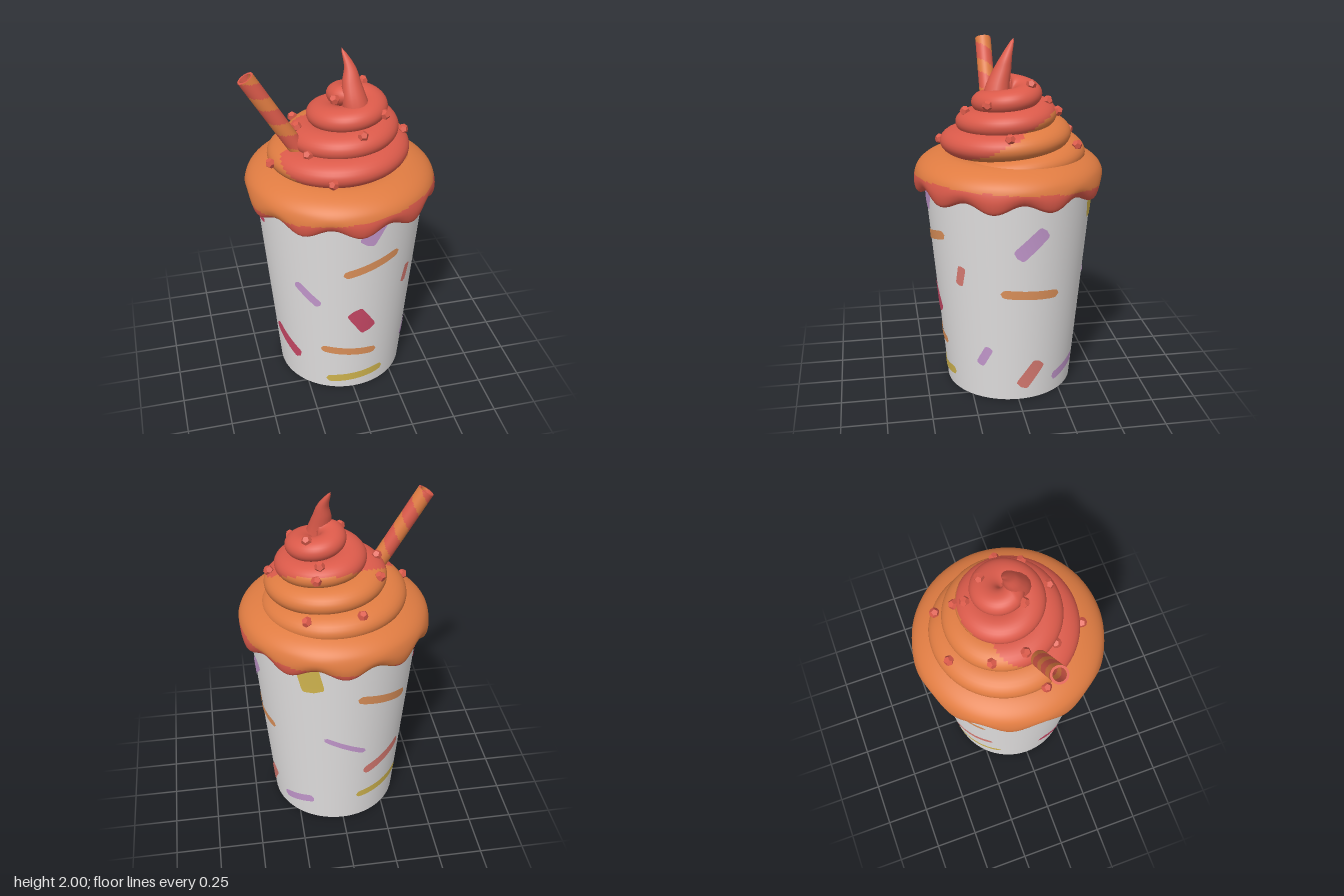
import * as THREE from 'three';

const { PI, sin, cos, sqrt, abs, min, max } = Math;
const material = (name, color) => {
  const m = new THREE.MeshStandardMaterial({ color, side: THREE.DoubleSide });
  m.name = name;
  return m;
};

// Grid surface from fn(u, v); pick(point, u, v) chooses a material index per face.
function gridMesh(name, nu, nv, wrapU, fn, mats, pick = () => 0) {
  const cols = wrapU ? nu : nu + 1;
  const pos = [];
  for (let j = 0; j <= nv; j++)
    for (let i = 0; i < cols; i++) pos.push(...fn(i / nu, j / nv));
  const lists = mats.map(() => []);
  for (let j = 0; j < nv; j++)
    for (let i = 0; i < nu; i++) {
      const k = wrapU ? (i + 1) % nu : i + 1;
      const a = j * cols + i, b = j * cols + k, c = b + cols, d = a + cols;
      const u = (i + 0.5) / nu, v = (j + 0.5) / nv;
      lists[pick(fn(u, v), u, v)].push(a, b, c, a, c, d);
    }
  const geo = new THREE.BufferGeometry();
  geo.setAttribute('position', new THREE.Float32BufferAttribute(pos, 3));
  geo.setIndex(lists.flat());
  let start = 0;
  lists.forEach((l, m) => { geo.addGroup(start, l.length, m); start += l.length; });
  geo.computeVertexNormals();
  const mesh = new THREE.Mesh(geo, mats.length > 1 ? mats : mats[0]);
  mesh.name = name;
  return mesh;
}

const cupRadius = y => 0.364 + 0.09 * y;

// Point on the cream coil: t in turns from the front, a around its section, k scales the section.
function coilPoint(t, a, k = 1) {
  const az = t * 2 * PI, rx = 0.125 - 0.018 * t, ry = 0.08 - 0.007 * t;
  const r = 0.38 - 0.085 * t - rx + rx * k * cos(a);
  return [0.017 + 0.025 * t + r * sin(az), 1.44 + 0.112 * t - ry * k * sin(a), r * cos(az)];
}

export function createModel() {
  const group = new THREE.Group();
  const white = material('cup white', 0xe4e2e2);
  const red = material('cream red', 0xdb5a4a);
  const orange = material('cream orange', 0xe07c42);
  const paint = {
    purple: material('sprinkle purple', 0xc69ad0),
    amber: material('sprinkle orange', 0xe1945c),
    crimson: material('sprinkle crimson', 0xcc4a68),
    salmon: material('sprinkle salmon', 0xdc7d74),
    yellow: material('sprinkle yellow', 0xd4b850),
  };
  const cream = [red, orange];

  // Cup
  const cupGroup = new THREE.Group();
  cupGroup.name = 'paintedCup';
  cupGroup.position.x = 0.005;
  group.add(cupGroup);
  const cup = new THREE.Mesh(new THREE.CylinderGeometry(cupRadius(1.28), cupRadius(0), 1.28, 64), white);
  cup.position.y = 0.64;
  cup.name = 'cup';
  cupGroup.add(cup);

  // Painted sprinkles on the cup: colour, azimuth, height, run, rise, width
  const marks = [
    ['purple', 9.5, 1.165, 0.09, 0.16, 0.1], ['amber', 10, 0.93, 0.33, 0.095, 0.052],
    ['purple', -38, 0.72, 0.14, -0.13, 0.052], ['crimson', 4, 0.535, 0.1, -0.16, 0.1],
    ['salmon', 44, 0.76, 0.03, 0.12, 0.05], ['amber', -5.5, 0.3, 0.33, -0.045, 0.052],
    ['yellow', 1, 0.09, 0.35, 0.035, 0.055], ['crimson', -65, 0.27, 0.2, -0.14, 0.08],
    ['crimson', -96, 1.08, 0.34, 0.05, 0.045], ['purple', 97, 0.975, 0.16, 0.15, 0.085],
    ['amber', 98, 0.67, 0.34, -0.035, 0.052], ['purple', 61, 0.28, 0.065, 0.12, 0.05],
    ['salmon', 100, 0.16, 0.11, 0.155, 0.08], ['purple', 138, 0.13, 0.21, 0.06, 0.055],
    ['yellow', 156, 1.13, -0.04, 0.19, 0.13], ['amber', 211, 0.92, 0.35, -0.11, 0.055],
    ['purple', 181, 0.62, 0.24, -0.13, 0.035], ['salmon', 217, 0.43, 0.28, 0.1, 0.065],
    ['yellow', 218, 0.2, 0.35, 0.03, 0.05],
  ];
  marks.forEach(([color, deg, y0, ds, dy, w]) => {
    const len = Math.hypot(ds, dy);
    cupGroup.add(gridMesh('paintedSprinkle', 24, 2, false, (u, v) => {
      const l = 2 * u - 1;
      const half = (v - 0.5) * w * sqrt(max(0, 1 - abs(l) ** 12));
      const s = l * ds / 2 - half * dy / len;
      const y = y0 + l * dy / 2 + half * ds / len;
      const r = cupRadius(y) + 0.004;
      const a = deg * PI / 180 + s / cupRadius(y0);
      return [r * sin(a), y, r * cos(a)];
    }, [paint[color]]));
  });

  // Scalloped cream collar, red drip below and orange above
  const profile = new THREE.SplineCurve([
    [0.43, 1.24], [0.475, 1.188], [0.512, 1.195], [0.528, 1.25], [0.508, 1.31],
    [0.45, 1.355], [0.36, 1.382], [0.26, 1.37],
  ].map(p => new THREE.Vector2(...p)));
  group.add(gridMesh('creamCollar', 120, 50, true, (u, v) => {
    const a = u * 2 * PI, p = profile.getPoint(v);
    const wave = cos(10 * a) * min(1, max(0, (1.3 - p.y) / 0.1));
    const r = p.x + 0.006 * wave;
    return [0.005 + r * sin(a), p.y - 0.024 * wave, r * cos(a)];
  }, cream, ([, y], u, v) => (v < 0.2 || y < 1.235 + 0.05 * cos(u * 2 * PI - 0.87) ? 0 : 1)));

  // Cream swirl: a tapering coil that drifts sideways as it rises
  const swirlColor = ([, y, z]) => (y > 1.63 || z > 0.2 - 2 * (y - 1.42) ? 0 : 1);
  const t0 = -0.95, t1 = 3.02;
  group.add(gridMesh('creamSwirl', 32, 320, true, (u, v) =>
    coilPoint(t0 + (t1 - t0) * v, u * 2 * PI, sqrt(min(1, v * 10, (1 - v) * 18))),
  cream, swirlColor));

  // Solid middle of the swirl
  const core = [[0.31, 1.36], [0.23, 1.5], [0.14, 1.62], [0.07, 1.7], [0, 1.71]];
  group.add(gridMesh('creamCore', 24, 4, true, (u, v) => {
    const [r, y] = core[Math.round(v * 4 - 0.01)];
    return [0.01 + (y - 1.36) * 0.21 + r * sin(u * 2 * PI), y, r * cos(u * 2 * PI)];
  }, cream, swirlColor));

  // Curled peak
  const peak = new THREE.CatmullRomCurve3([
    [0.085, 1.66, 0.085], [0.067, 1.76, 0.068], [0.058, 1.84, 0.042], [0.055, 1.91, 0.018], [0.022, 2, -0.025],
  ].map(p => new THREE.Vector3(...p)));
  group.add(gridMesh('creamPeak', 14, 20, true, (u, v) => {
    const c = peak.getPoint(v), r = 0.08 * (1 - v) ** 0.7;
    return [c.x + r * sin(u * 2 * PI), c.y, c.z + r * cos(u * 2 * PI)];
  }, [red]));

  // Candy beads on the coil: turn, angle around its section
  const beadGeo = new THREE.DodecahedronGeometry(0.029, 0);
  [
    [-0.457, -0.9], [-0.58, -0.8], [0.657, -0.7], [1.453, -0.2], [1.46, -1.1], [2.39, -1.2], [0.756, -1],
    [2.83, 0], [0.228, -0.8], [2.125, 0], [0.853, 0.3], [1.017, -1], [-0.055, 0.1], [-0.223, -0.1],
  ].forEach(([t, a], i) => {
    const bead = new THREE.Mesh(beadGeo, red);
    bead.position.set(...coilPoint(t, a, 1.08));
    bead.rotation.set(i, i * 2, 0);
    bead.name = 'candyBead';
    group.add(bead);
  });

  // Hollow straw with spiral stripes
  const low = new THREE.Vector3(-0.16, 1.36, 0.07), high = new THREE.Vector3(-0.5, 1.925, 0.07);
  const length = low.distanceTo(high);
  const straw = new THREE.Group();
  straw.name = 'straw';
  const stripe = (p, u, v) => ((v * length / 0.18 + u) % 1 < 0.55 ? 0 : 1);
  const wall = r => (u, v) => [r * sin(u * 2 * PI), v * length, r * cos(u * 2 * PI)];
  straw.add(gridMesh('strawOutside', 32, 80, true, wall(0.046), cream, stripe));
  straw.add(gridMesh('strawInside', 32, 80, true, wall(0.034), cream, stripe));
  const lip = new THREE.Mesh(new THREE.RingGeometry(0.034, 0.046, 32), red);
  lip.rotation.x = -PI / 2;
  lip.position.y = length;
  lip.name = 'strawLip';
  straw.add(lip);
  straw.position.copy(low);
  straw.quaternion.setFromUnitVectors(new THREE.Vector3(0, 1, 0), high.clone().sub(low).normalize());
  group.add(straw);

  return group;
}
